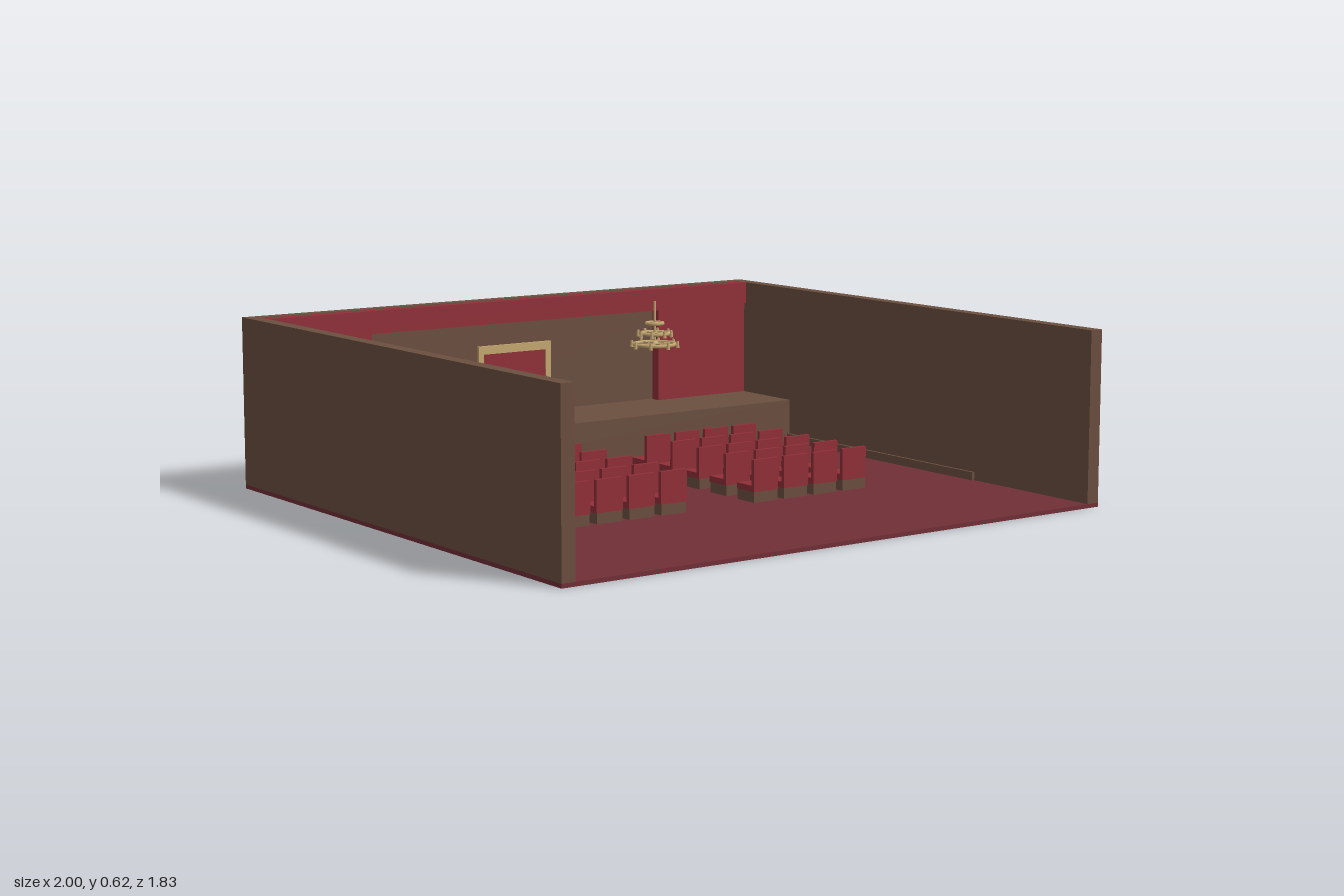
import * as THREE from 'three';

const mat = (name, color) => {
  const m = new THREE.MeshStandardMaterial({ color });
  m.name = name;
  return m;
};

export function createModel() {
  const wood = mat('wood', 0x6b4f3f);
  const carpet = mat('carpet', 0x722f37);
  const velvet = mat('velvet', 0x912f38);
  const gold = mat('gold', 0xc5a872);

  const root = new THREE.Group();
  root.name = 'theatreHall';

  const add = (parent, name, geometry, material, x = 0, y = 0, z = 0) => {
    const mesh = new THREE.Mesh(geometry, material);
    mesh.name = name;
    mesh.position.set(x, y, z);
    parent.add(mesh);
    return mesh;
  };
  // Box given by its limits on each axis
  const box = (parent, name, material, x0, x1, y0, y1, z0, z1) =>
    add(parent, name, new THREE.BoxGeometry(x1 - x0, y1 - y0, z1 - z0), material,
      (x0 + x1) / 2, (y0 + y1) / 2, (z0 + z1) / 2);

  // Shell of the hall, open at the front and top
  const F = 0.013, TOP = 0.555, IN = 0.955, STAGE = 0.16;
  box(root, 'floor', carpet, -1, 1, 0, F, -0.917, 0.917);
  box(root, 'backWall', wood, -IN, IN, F, TOP, -0.917, -0.875);
  for (const s of [-1, 1]) {
    const side = s < 0 ? 'right' : 'left';
    const span = (a, b) => (s < 0 ? [-b, -a] : [a, b]);
    box(root, side + 'Wall', wood, ...span(IN, 1), F, TOP, -0.917, 0.917);
    box(root, side + 'Skirting', wood, ...span(0.945, IN), F, 0.04, -0.565, 0.4);
    box(root, side + 'Curtain', velvet, ...span(0.575, IN), STAGE, 0.485, -0.865, -0.83);
  }

  // Stage with its valance and doorway
  box(root, 'stage', wood, -IN, IN, F, STAGE, -0.875, -0.565);
  box(root, 'valance', velvet, -IN, IN, 0.48, TOP, -0.857, -0.82);
  const doorway = new THREE.Group();
  doorway.name = 'doorway';
  root.add(doorway);
  box(doorway, 'door', velvet, -0.125, 0.125, STAGE, 0.372, -0.875, -0.87);
  box(doorway, 'doorHandle', gold, 0.064, 0.074, STAGE, 0.225, -0.87, -0.86);
  box(doorway, 'lintel', gold, -0.145, 0.145, 0.372, 0.4, -0.875, -0.864);
  for (const s of [-1, 1])
    box(doorway, 'doorPost', gold, s * 0.135 - 0.01, s * 0.135 + 0.01, STAGE, 0.372, -0.875, -0.864);

  // Five rows of seats facing the stage, with a centre aisle
  for (let row = 0; row < 5; row++) {
    for (let col = 0; col < 4; col++) {
      for (const s of [-1, 1]) {
        const seat = new THREE.Group();
        seat.name = 'seat';
        seat.position.set(s * (0.177 + col * 0.1185), 0, -0.317 + row * 0.1428);
        root.add(seat);
        box(seat, 'seatBase', wood, -0.046, 0.046, F, 0.047, -0.042, 0.042);
        box(seat, 'seatCushion', velvet, -0.048, 0.048, 0.047, 0.066, -0.043, 0.03);
        box(seat, 'seatBack', velvet, -0.048, 0.048, 0.047, 0.148, 0.03, 0.043);
      }
    }
  }

  // Tiered chandelier: rings, spokes and candles around a rod
  const chandelier = new THREE.Group();
  chandelier.name = 'chandelier';
  chandelier.position.set(0, 0, -0.05);
  root.add(chandelier);
  add(chandelier, 'rod', new THREE.CylinderGeometry(0.004, 0.004, 0.14, 8), gold, 0, 0.55, 0);
  add(chandelier, 'hub', new THREE.SphereGeometry(0.012, 10, 8), gold, 0, 0.484, 0);
  const tiers = [[0.065, 0.484, 8], [0.045, 0.518, 8], [0.026, 0.55, 4]];
  for (const [r, y, n] of tiers) {
    const ring = add(chandelier, 'ring', new THREE.TorusGeometry(r, 0.006, 6, 16), gold, 0, y, 0);
    ring.rotation.x = Math.PI / 2;
    for (let i = 0; i < n; i++) {
      const a = (i / n) * Math.PI * 2;
      const c = Math.cos(a), d = Math.sin(a);
      const spoke = add(chandelier, 'spoke', new THREE.BoxGeometry(r, 0.005, 0.005), gold,
        c * r / 2, y, d * r / 2);
      spoke.rotation.y = -a;
      if (n === 8)
        add(chandelier, 'candle', new THREE.CylinderGeometry(0.004, 0.006, 0.022, 6), gold,
          c * (r + 0.008), y, d * (r + 0.008));
    }
  }
  return root;
}
